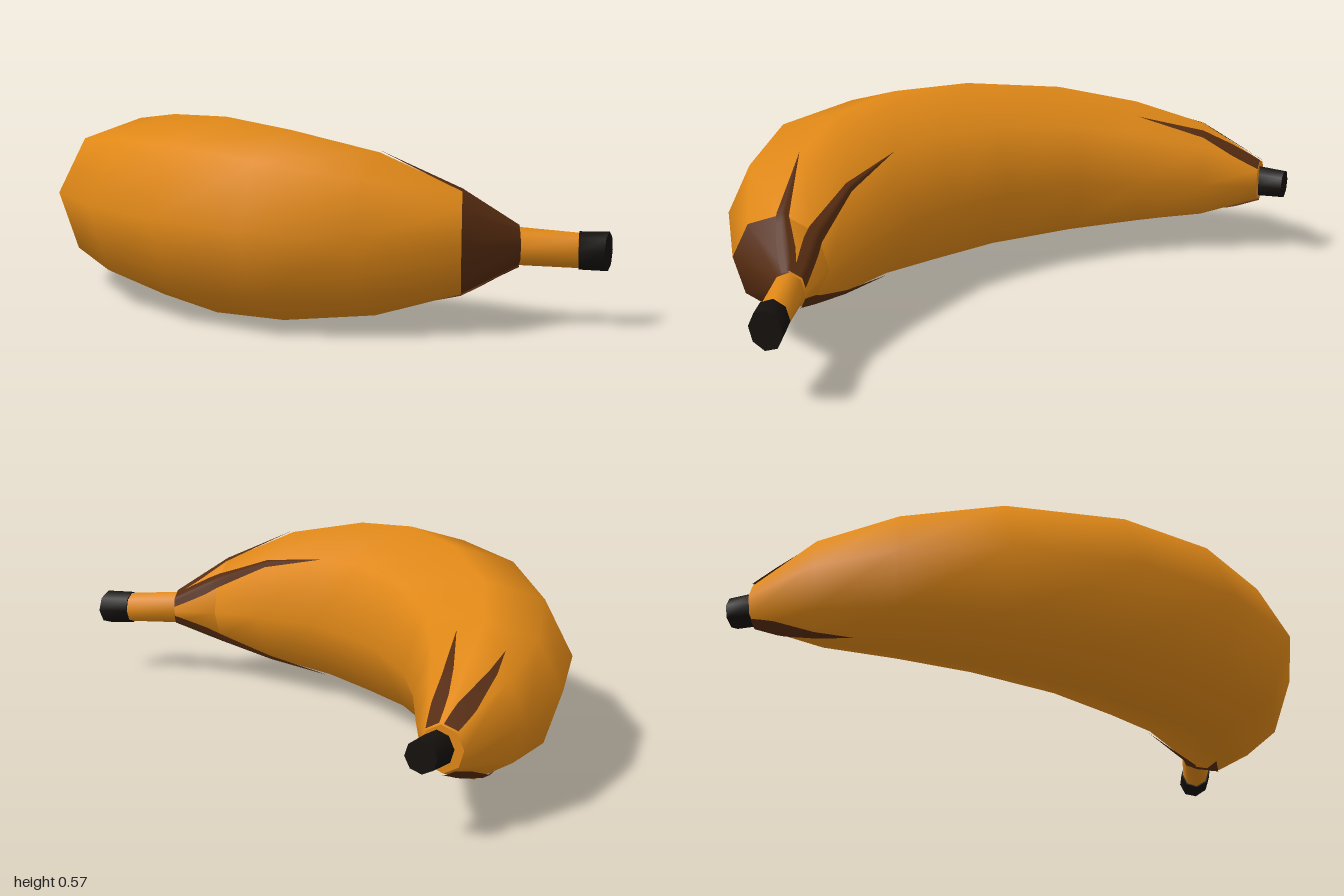
import * as THREE from 'three';

const SIDES = 8, TWIST = 0.07;
const orange = new THREE.MeshStandardMaterial({ color: 0xe08817 });
const brown = new THREE.MeshStandardMaterial({ color: 0x552b10, side: THREE.DoubleSide });
const black = new THREE.MeshStandardMaterial({ color: 0x14100d });

// Cross-sections: outer x, outer z, inner x, inner z, centre height, half height
const body = [
  [-0.98, -0.27, -0.88, -0.34, 0.235, 0.065],
  [-0.92, -0.04, -0.72, -0.26, 0.252, 0.158],
  [-0.78, 0.17, -0.54, -0.165, 0.267, 0.208],
  [-0.54, 0.37, -0.35, -0.09, 0.279, 0.248],
  [-0.17, 0.505, -0.11, -0.05, 0.29, 0.276],
  [0.17, 0.525, 0.09, -0.055, 0.291, 0.287],
  [0.48, 0.45, 0.26, -0.08, 0.285, 0.27],
  [0.70, 0.24, 0.47, -0.165, 0.272, 0.228],
  [0.835, -0.04, 0.64, -0.24, 0.25, 0.145],
  [0.84, -0.27, 0.77, -0.33, 0.232, 0.054],
];
const stem = [body[9], [0.948, -0.385, 0.892, -0.455, 0.222, 0.05]];
const stemTip = [[0.952, -0.382, 0.888, -0.458, 0.222, 0.054], [1.0, -0.435, 0.95, -0.53, 0.22, 0.056]];
const blossomTip = [[-1.0, -0.36, -0.92, -0.41, 0.235, 0.045], [-0.955, -0.28, -0.885, -0.345, 0.235, 0.05]];

// Corner k of a section, pushed outward by lift
function corner(s, k, lift = 0) {
  const a = TWIST + (k / SIDES) * Math.PI * 2;
  const hx = (s[0] - s[2]) / 2, hz = (s[1] - s[3]) / 2;
  const c = Math.cos(a) * (1 + lift / Math.hypot(hx, hz));
  return new THREE.Vector3((s[0] + s[2]) / 2 + hx * c, s[4] + (s[5] + lift) * Math.sin(a), (s[1] + s[3]) / 2 + hz * c);
}

// Point on the faceted skin at section u and side k, both fractional
function onSkin(u, k, lift) {
  const i = Math.min(Math.floor(u), body.length - 2), f = u - i, j = Math.floor(k);
  const s = body[i].map((v, n) => v + (body[i + 1][n] - v) * f);
  return corner(s, j, lift).lerp(corner(s, j + 1, lift), k - j);
}

// Smooth surface through rows of points; wrap closes it, caps add flat ends
function skin(name, rows, material, wrap, caps = false) {
  const n = rows[0].length, pts = rows.flat(), index = [];
  for (let i = 0; i < rows.length - 1; i++) {
    for (let j = 0; j < (wrap ? n : n - 1); j++) {
      const k = (j + 1) % n, a = i * n, b = a + n;
      index.push(a + j, b + j, b + k, a + j, b + k, a + k);
    }
  }
  if (caps) {
    [rows[0], rows[rows.length - 1]].forEach((row, end) => {
      const o = pts.length;
      pts.push(...row);
      for (let j = 1; j < n - 1; j++) index.push(o, o + j + (end ? 1 : 0), o + j + (end ? 0 : 1));
    });
  }
  const geometry = new THREE.BufferGeometry().setFromPoints(pts);
  geometry.setIndex(index);
  geometry.computeVertexNormals();
  const mesh = new THREE.Mesh(geometry, material);
  mesh.name = name;
  return mesh;
}

const ring = (s) => Array.from({ length: SIDES }, (_, k) => corner(s, k));
const arc = (s, from, to) => Array.from({ length: to - from + 1 }, (_, i) => corner(s, from + i));

// Tapering brown blade lying on the skin from section u0 to a point at u1
function streak(u0, u1, side, width) {
  const rows = [];
  for (let i = 0; i <= 12; i++) {
    const t = i / 12, u = u0 + (u1 - u0) * t;
    const r = THREE.MathUtils.lerp(body[Math.floor(u)][5], body[Math.min(Math.floor(u) + 1, 9)][5], u % 1);
    const half = (width * Math.min(1, 0.6 + t * 1.6) * (1 - t) / r) * SIDES / (Math.PI * 2);
    rows.push(Array.from({ length: 7 }, (_, j) => onSkin(u, side + half * (j / 3 - 1), 0.006)));
  }
  return skin('streak', rows, brown, false);
}

export function createModel() {
  const group = new THREE.Group();
  group.name = 'banana';

  // Peel, with the neck split into a brown outer half and an orange inner half
  group.add(skin('peel', body.slice(0, 9).map(ring), orange, true, true));
  group.add(skin('neckInner', [arc(body[8], 2, 6), arc(body[9], 2, 6)], orange, false));
  group.add(skin('neckOuter', [arc(body[8], -2, 2), arc(body[9], -2, 2)], brown, false));

  // Stem and dark ends
  group.add(skin('stem', stem.map(ring), orange, true, true));
  group.add(skin('stemTip', stemTip.map(ring), black, true, true));
  group.add(skin('blossomTip', blossomTip.map(ring), black, true, true));

  // Streaks running out from both ends: start, end, side, width
  const streaks = [
    [9, 6, 3, 0.045], [9, 7, 2, 0.04], [9, 6, 5, 0.045], [9, 7, 5.8, 0.04],
    [0, 2, 2.5, 0.035], [0, 1.5, 1.4, 0.035], [0, 1.5, 6.3, 0.035],
  ];
  for (const s of streaks) group.add(streak(...s));
  return group;
}
